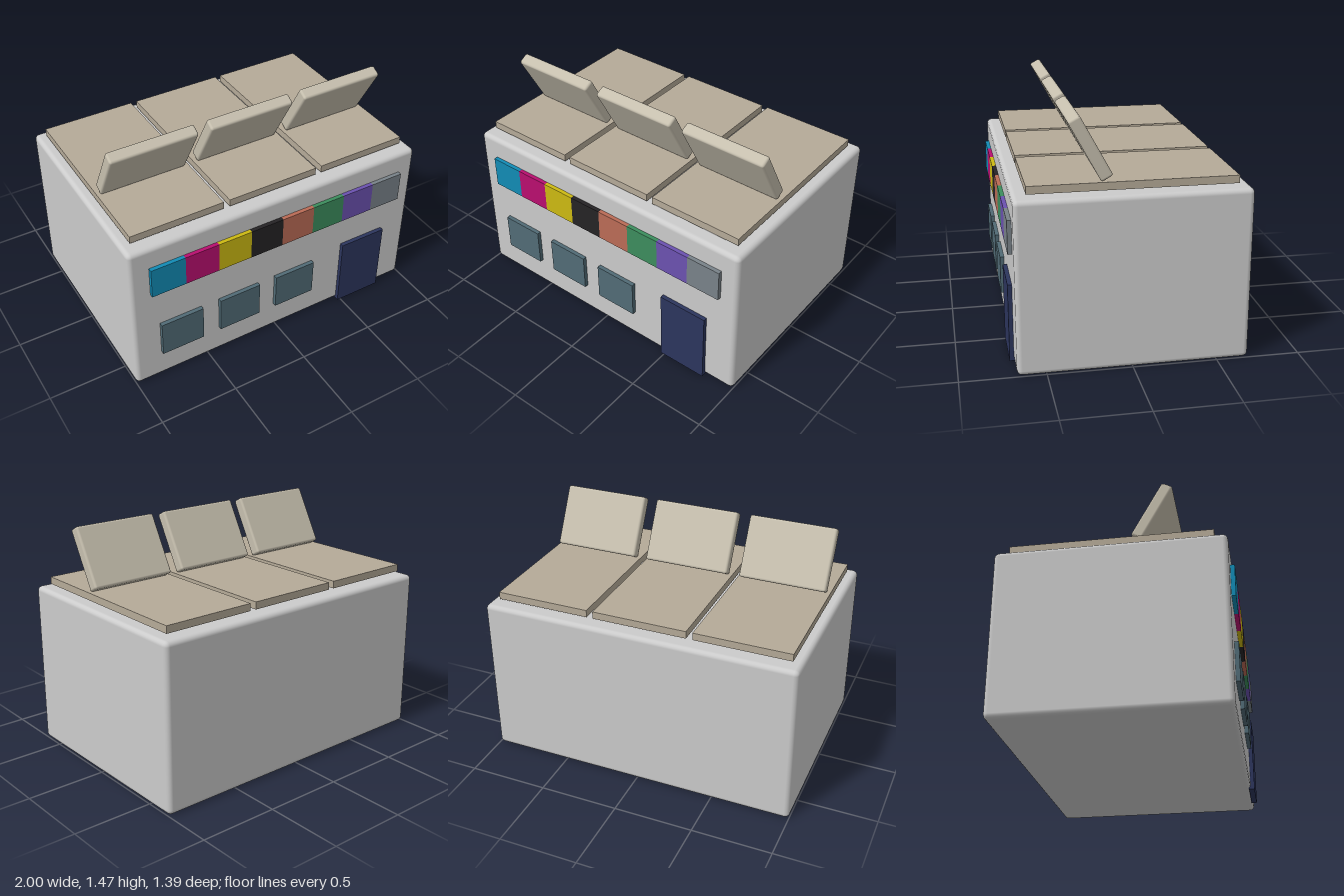
import * as THREE from 'three';
import { RoundedBoxGeometry } from 'three/addons/geometries/RoundedBoxGeometry.js';

const material = (color) => new THREE.MeshStandardMaterial({ color });

// Adds a box given by its centre and size; a radius rounds the edges.
function addBox(parent, name, mat, [x, y, z], [w, h, d], radius = 0) {
  const geometry = radius
    ? new RoundedBoxGeometry(w, h, d, 2, radius)
    : new THREE.BoxGeometry(w, h, d);
  const mesh = new THREE.Mesh(geometry, mat);
  mesh.name = name;
  mesh.position.set(x, y, z);
  parent.add(mesh);
  return mesh;
}

export function createModel() {
  const model = new THREE.Group();
  model.name = 'building';

  // Main block
  addBox(model, 'body', material(0xcccccc), [0, 0.52, -0.011], [2, 1.04, 1.36], 0.03);

  // Roof slabs, each with a leaning panel
  const slabMat = material(0xb5aa98);
  const panelMat = material(0xc6bfae);
  for (let i = -1; i <= 1; i++) {
    const x = i * 0.64 - 0.003;
    addBox(model, 'roofSlab', slabMat, [x, 1.081, -0.012], [0.6, 0.046, 1.205]);
    const panel = addBox(model, 'roofPanel', panelMat, [x, 1.288, 0.229], [0.558, 0.393, 0.075], 0.015);
    panel.rotation.x = 0.5;
  }

  // Facade parts share one thin depth
  const z = 0.677;
  const depth = 0.036;

  // Row of coloured tiles
  const tileColors = [0x128bb5, 0xb90e6f, 0xccb912, 0x252325, 0xba6b56, 0x3c8d5d, 0x6b51b0, 0x798289];
  const tileWidth = 0.2205;
  tileColors.forEach((color, i) => {
    addBox(model, 'colorTile', material(color), [-0.875 + (i + 0.5) * tileWidth, 0.8, z], [tileWidth, 0.2, depth]);
  });

  // Windows
  const windowMat = material(0x516b76);
  for (let i = 0; i < 3; i++) {
    addBox(model, 'window', windowMat, [-0.685 + i * 0.4, 0.32, z], [0.28, 0.24, depth]);
  }

  // Door
  addBox(model, 'door', material(0x2c355d), [0.638, 0.24, z], [0.32, 0.48, depth]);

  return model;
}
